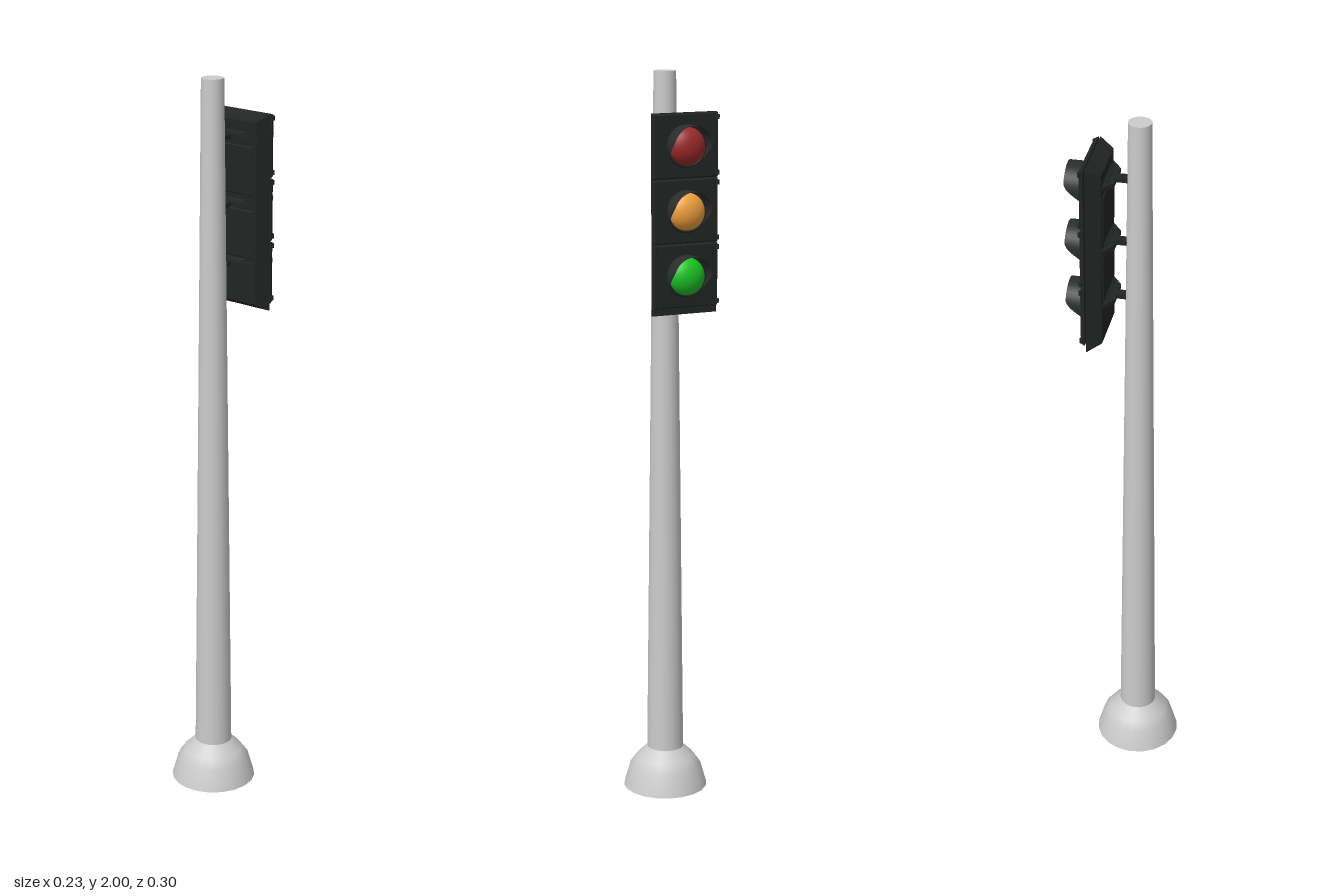
import * as THREE from 'three';

const mat = (color, side = THREE.FrontSide) => new THREE.MeshStandardMaterial({ color, side, roughness: 0.8 });

function add(parent, name, geometry, material, x = 0, y = 0, z = 0) {
  const mesh = new THREE.Mesh(geometry, material);
  mesh.name = name;
  mesh.position.set(x, y, z);
  parent.add(mesh);
  return mesh;
}

// Box whose +z face is inset from its -z face (negative inset widens it)
function taperedBox(w, h, d, inset) {
  const g = new THREE.BoxGeometry(w, h, d);
  const p = g.attributes.position;
  for (let i = 0; i < p.count; i++) {
    if (p.getZ(i) < 0) continue;
    p.setX(i, p.getX(i) - Math.sign(p.getX(i)) * inset);
    p.setY(i, p.getY(i) - Math.sign(p.getY(i)) * inset);
  }
  g.computeVertexNormals();
  return g;
}

// Curved hood: long over the top, cut back along the sides
function visorGeometry(radius, length) {
  const g = new THREE.CylinderGeometry(radius, radius, 1, 28, 1, true, -2.2, 4.4);
  g.rotateX(Math.PI / 2);
  g.rotateZ(Math.PI);
  const p = g.attributes.position;
  let top = 0;
  for (let i = 0; i < p.count; i++) top += p.getY(i);
  if (top < 0) g.rotateZ(Math.PI);
  for (let i = 0; i < p.count; i++) {
    const s = p.getY(i) / radius;
    const reach = length * THREE.MathUtils.smoothstep(s, -0.75, 0.4);
    p.setZ(i, p.getZ(i) > 0 ? reach : -0.002);
  }
  g.computeVertexNormals();
  return g;
}

// Flat mounting arm, drawn in plan with the pole end at v = 0
function bracketGeometry() {
  const half = [[0.013, -0.006], [0.013, 0.024], [0.04, 0.024], [0.078, 0.052]];
  const pts = [...half, ...half.map(([x, y]) => [-x, y]).reverse()];
  const shape = new THREE.Shape(pts.map(([x, y]) => new THREE.Vector2(x, y)));
  const g = new THREE.ExtrudeGeometry(shape, { depth: 0.012, bevelEnabled: false });
  g.translate(0, 0, -0.006);
  g.rotateX(Math.PI / 2);
  return g;
}

export function createModel() {
  const model = new THREE.Group();
  model.name = 'trafficLight';
  const grey = mat(0xcccccc);
  const black = mat(0x222424);
  const hood = mat(0x2b2d2d, THREE.DoubleSide);

  // Tapered pole and flared foot
  const pole = new THREE.Group();
  pole.name = 'pole';
  pole.position.z = 0.033;
  model.add(pole);
  add(pole, 'shaft', new THREE.CylinderGeometry(0.03, 0.051, 1.89, 20), grey, 0, 1.055, 0);
  const foot = [[0.117, 0], [0.1, 0.06], [0.082, 0.085], [0.051, 0.115]];
  add(pole, 'foot', new THREE.LatheGeometry(foot.map(([r, y]) => new THREE.Vector2(r, y)), 20), grey);
  const underside = add(pole, 'footUnderside', new THREE.CircleGeometry(0.117, 20), grey);
  underside.rotation.x = Math.PI / 2;

  // Signal head, built facing +z and turned to face the rear
  const head = new THREE.Group();
  head.name = 'signalHead';
  head.rotation.y = Math.PI;
  model.add(head);

  // Housing widens towards the doors
  add(head, 'housing', taperedBox(0.156, 0.45, 0.038, -0.038 / 2), black, 0, 1.636, 0.069)
    .scale.set(0.97, 1.085, 1);

  // Raised panels on the back of the housing
  for (const y of [1.75, 1.58]) {
    const panel = add(head, 'backPanel', taperedBox(0.13, 0.125, 0.004, -0.003), black, 0, y, 0.049);
    panel.position.z = 0.0485;
  }

  // Mounting brackets
  const bracket = bracketGeometry();
  for (const y of [1.84, 1.66, 1.5]) {
    add(head, 'bracket', bracket, black, 0, y, 0);
    add(head, 'bracketFoot', taperedBox(0.08, 0.014, 0.012, -0.006), black, 0, y, 0.045);
  }

  // Three lamp sections: door, lens, visor and edge catches
  const lens = new THREE.SphereGeometry(0.05, 28, 10, 0, Math.PI * 2, 0, Math.PI / 2);
  lens.rotateX(Math.PI / 2);
  lens.scale(1, 1, 0.7);
  const visor = visorGeometry(0.056, 0.048);
  const ring = new THREE.TorusGeometry(0.053, 0.004, 6, 28);
  const door = taperedBox(0.188, 0.169, 0.011, 0.004);
  const knob = new THREE.CylinderGeometry(0.005, 0.005, 0.012, 8);
  const lamps = [['red', 1.815, 0x9c2a2a], ['amber', 1.645, 0xf0a03c], ['green', 1.475, 0x1cc424]];
  for (const [name, y, color] of lamps) {
    const section = new THREE.Group();
    section.name = name + 'Section';
    section.position.set(0, y, 0.103);
    head.add(section);
    add(section, 'door', door, black, 0, 0, -0.0055);
    add(section, name + 'Lens', lens, mat(color));
    add(section, 'lensRing', ring, black);
    add(section, 'visor', visor, hood);
    for (const sx of [-1, 1])
      for (const sy of [-1, 1]) add(section, 'catch', knob, black, sx * 0.09, sy * 0.072, -0.001);
  }
  return model;
}
